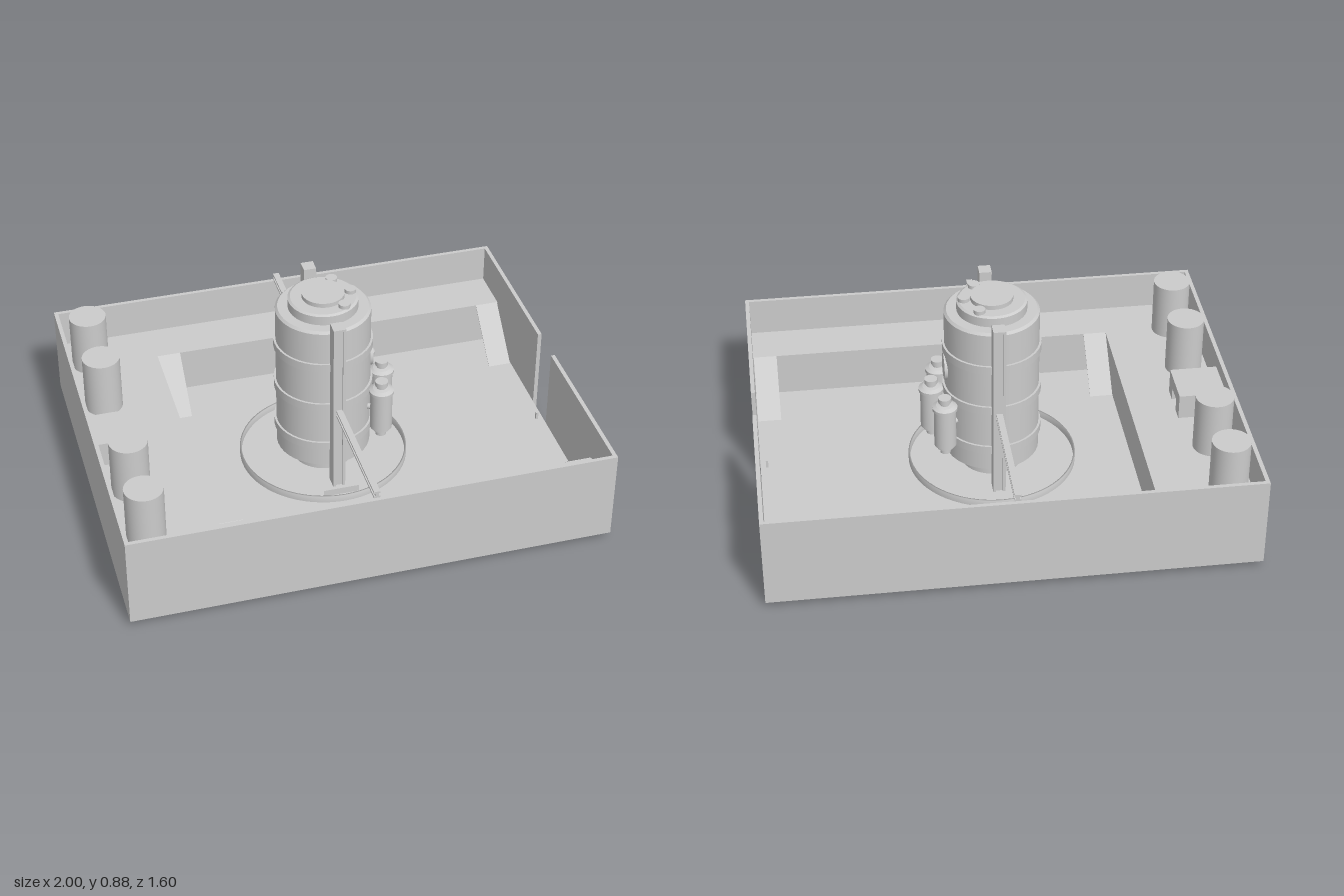
import * as THREE from 'three';

const mat = new THREE.MeshStandardMaterial({ color: 0xcccccc, side: THREE.DoubleSide });

export function createModel() {
  const model = new THREE.Group();

  const add = (name, geo, x = 0, y = 0, z = 0) => {
    const m = new THREE.Mesh(geo, mat);
    m.name = name;
    m.position.set(x, y, z);
    model.add(m);
    return m;
  };
  // box given by its limits
  const box = (name, x0, x1, y0, y1, z0, z1) =>
    add(name, new THREE.BoxGeometry(x1 - x0, y1 - y0, z1 - z0), (x0 + x1) / 2, (y0 + y1) / 2, (z0 + z1) / 2);
  // upright cylinder between two heights
  const cyl = (name, r, y0, y1, x = 0, z = 0, rTop = r) =>
    add(name, new THREE.CylinderGeometry(rTop, r, y1 - y0, 40), x, (y0 + y1) / 2, z);

  const T = 0.017, base = 0.026, floor = 0.06, deck = 0.255, rim = 0.42;

  // open enclosure with a full height gap in the left wall
  box('floor', -1 + T, 1 - T, base, floor, -0.8 + T, 0.8 - T);
  box('rightWall', -1, -1 + T, base, rim, -0.8, 0.8);
  for (const s of [-1, 1]) {
    const [a, b] = s > 0 ? [0.8 - T, 0.8] : [-0.8, -0.8 + T];
    box(s > 0 ? 'frontWall' : 'backWall', -1 + T, 1 - T, base, rim, a, b);
    const [c, d] = s > 0 ? [0.08, 0.8] : [-0.8, -0.08];
    box('gapWall', 1 - T, 1, base, rim, c, d);
  }

  // U-shaped raised deck
  const u = new THREE.Shape();
  [[-0.983, -0.783], [0.983, -0.783], [0.983, -0.585], [-0.59, -0.585],
    [-0.59, 0.585], [0.983, 0.585], [0.983, 0.783], [-0.983, 0.783]]
    .forEach(([x, y], i) => (i ? u.lineTo(x, y) : u.moveTo(x, y)));
  const deckGeo = new THREE.ExtrudeGeometry(u, { depth: deck - floor, bevelEnabled: false });
  deckGeo.rotateX(-Math.PI / 2);
  add('deck', deckGeo, 0, floor, 0);

  // sloping ramps from the deck edge through the floor
  for (const s of [-1, 1]) {
    for (const x of [-0.54, 0.93]) {
      const dz = 0.272, len = Math.hypot(dz, deck);
      const ramp = add('ramp', new THREE.BoxGeometry(0.1, 0.003, len), x, deck / 2, s * (0.585 - dz / 2));
      ramp.rotation.x = -s * Math.atan2(deck, dz);
    }
  }

  // storage tanks and cabinet on the deck
  for (const z of [-0.615, -0.305, 0.28, 0.585]) cyl('storageTank', 0.079, deck, 0.503, -0.88, z);
  const cab = new THREE.Shape();
  [[-0.1, 0], [-0.04, 0], [-0.04, 0.055], [0.04, 0.055], [0.04, 0], [0.1, 0], [0.1, 0.11], [-0.1, 0.11]]
    .forEach(([x, y], i) => (i ? cab.lineTo(x, y) : cab.moveTo(x, y)));
  const cabGeo = new THREE.ExtrudeGeometry(cab, { depth: 0.2, bevelEnabled: false });
  cabGeo.rotateY(Math.PI / 2);
  add('cabinet', cabGeo, -0.982, deck, 0);

  // circular lip round the vessel
  const lip = new THREE.LatheGeometry([[0.348, floor], [0.348, 0.09], [0.355, 0.09], [0.355, floor]]
    .map(p => new THREE.Vector2(...p)), 64);
  add('floorRing', lip.toNonIndexed());
  box('floorPlate', -0.08, 0.07, floor, 0.09, 0.303, 0.307);

  // vessel stacked from plain cylinders
  cyl('vesselFoot', 0.13, floor, 0.1);
  cyl('vesselTaper', 0.13, 0.1, 0.135, 0, 0, 0.18);
  cyl('vesselBody', 0.197, 0.135, 0.8);
  for (const y of [0.22, 0.42, 0.62]) cyl('vesselBand', 0.206, y, y + 0.036);
  cyl('vesselShoulder', 0.197, 0.8, 0.81, 0, 0, 0.187);
  cyl('vesselNeck', 0.145, 0.81, 0.85);
  cyl('vesselNeckTop', 0.145, 0.85, 0.856, 0, 0, 0.135);
  cyl('vesselCap', 0.088, 0.856, 0.875);
  for (const a of [-1, 0, 1]) {
    cyl('capBolt', 0.024, 0.85, 0.872, 0.115 * Math.cos(a), 0.115 * Math.sin(a));
  }
  const port = cyl('sidePort', 0.057, 0, 0.03, 0.187, 0);
  port.rotation.z = Math.PI / 2;
  port.position.y = 0.54;

  // pumps beside the vessel, one turned profile each
  const profile = [[0, 0.21], [0.022, 0.21], [0.022, 0.235], [0.035, 0.235], [0.035, 0.25], [0.046, 0.25],
    [0.046, 0.425], [0.052, 0.425], [0.052, 0.438], [0.036, 0.447], [0.02, 0.45], [0.02, 0.462],
    [0.027, 0.462], [0.027, 0.482], [0, 0.482]];
  for (const [x, z] of [[0.213, -0.145], [0.255, 0], [0.213, 0.14]]) {
    // each segment turned separately keeps the rims sharp
    for (let i = 0; i + 1 < profile.length; i++) {
      const pts = [profile[i], profile[i + 1]].map(p => new THREE.Vector2(...p));
      add('pump', new THREE.LatheGeometry(pts, 32), x, 0, z);
    }
    const arm = new THREE.CylinderGeometry(0.012, 0.012, 0.1, 12).rotateZ(Math.PI / 2);
    const m = add('pumpPipe', arm, x * 0.8, 0.34, z * 0.8);
    m.rotation.y = -Math.atan2(z, x);
  }

  // channel columns and beams, front and back
  for (const s of [-1, 1]) {
    const col = new THREE.Group();
    col.name = 'column';
    const part = (w, h, d, x, y, z) => {
      const m = new THREE.Mesh(new THREE.BoxGeometry(w, h, d), mat);
      m.position.set(x, y, z);
      col.add(m);
    };
    const h = 0.856 - floor, mid = floor + h / 2;
    part(0.052, h, 0.012, 0, mid, 0.205);
    for (const x of [-0.02, 0.02]) part(0.012, h, 0.046, x, mid, 0.232);
    part(0.028, h - 0.01, 0.036, 0, mid - 0.005, 0.229);
    part(0.052, 0.01, 0.055, 0, 0.851, 0.2275);
    // cross beam to the outer wall
    part(0.026, 0.008, 0.54, 0, 0.451, 0.52);
    part(0.014, 0.02, 0.54, 0, 0.439, 0.52);
    part(0.026, 0.008, 0.54, 0, 0.429, 0.52);
    if (s < 0) col.rotation.y = Math.PI;
    model.add(col);
  }

  // small marker post by the gap
  box('markerPost', 0.95, 0.96, floor, 0.095, 0.035, 0.047);

  return model;
}
